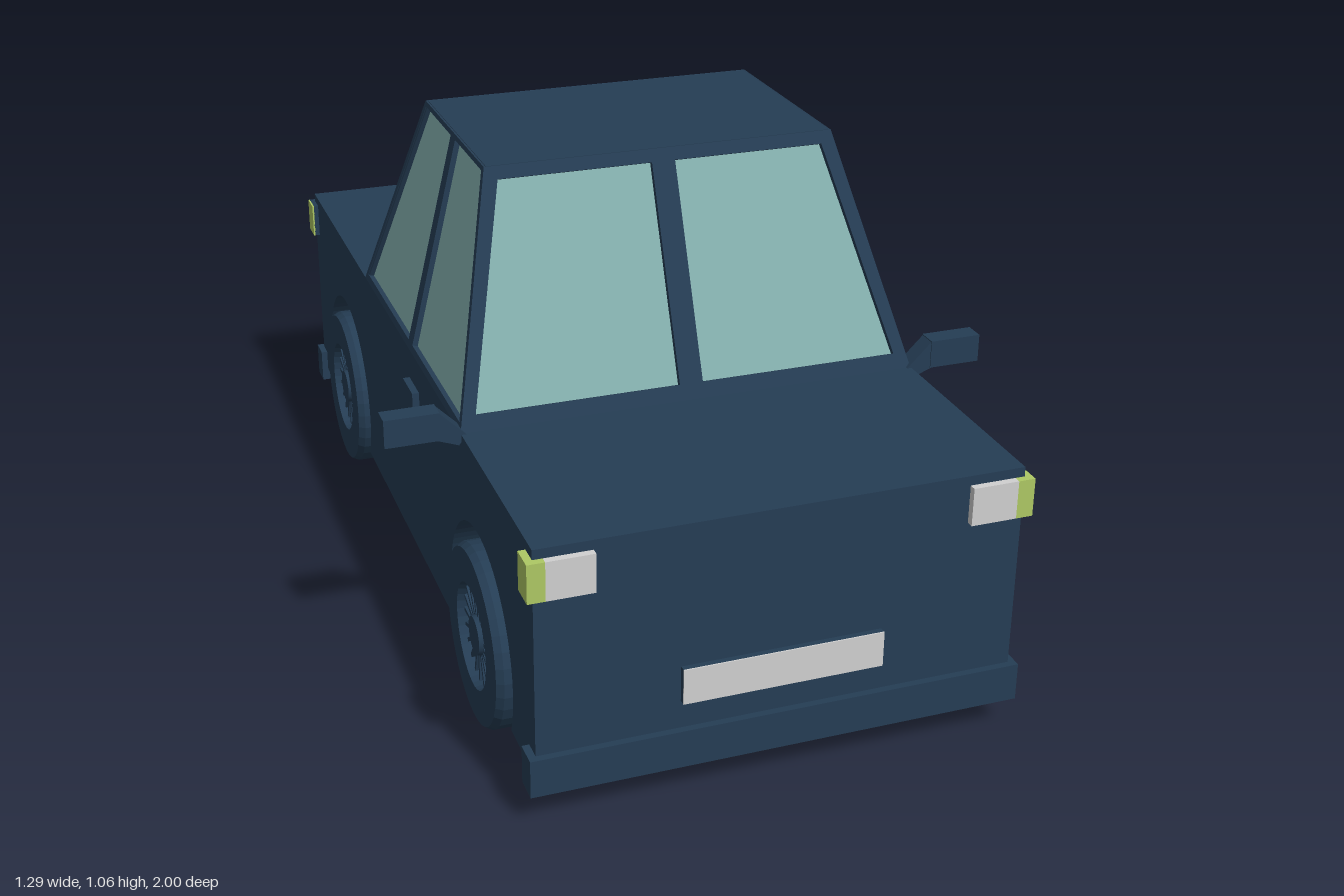
import * as THREE from 'three';

const mat = (name, color, side = THREE.FrontSide) => {
  const m = new THREE.MeshStandardMaterial({ color, side });
  m.name = name;
  return m;
};

export function createModel() {
  const car = new THREE.Group();
  car.name = 'car';
  const paint = mat('navy paint', 0x253d54);
  const glass = mat('pale teal glass', 0x84b0ae, THREE.DoubleSide);
  const amber = mat('yellow lamp', 0xaec864);
  const white = mat('light grey', 0xd0d0d0);

  const add = (name, geo, material, parent = car) => {
    const m = new THREE.Mesh(geo, material);
    m.name = name;
    parent.add(m);
    return m;
  };
  // Box given by its lower and upper limits on each axis
  const box = (name, material, [x0, x1], [y0, y1], [z0, z1], parent = car) => {
    const m = add(name, new THREE.BoxGeometry(Math.abs(x1 - x0), y1 - y0, Math.abs(z1 - z0)), material, parent);
    m.position.set((x0 + x1) / 2, (y0 + y1) / 2, (z0 + z1) / 2);
    return m;
  };
  const poly = (pts, Type = THREE.Shape) => new Type(pts.map(p => new THREE.Vector2(...p)));

  // Body: full-height core, with outer slabs notched by the wheel arches
  const H = 0.585, L = 0.985, wheelY = 0.19, wheelZ = [0.61, -0.63];
  box('bodyCore', paint, [-0.36, 0.36], [0.1, H], [-L, L]);
  const side = new THREE.Shape();
  const dip = Math.asin(0.09 / 0.23);
  side.moveTo(-L, H);
  side.lineTo(-L, 0.1);
  for (const z of [...wheelZ].sort((a, b) => a - b)) side.absarc(z, wheelY, 0.23, Math.PI + dip, -dip, true);
  side.lineTo(L, 0.1);
  side.lineTo(L, H);
  for (const s of [-1, 1]) {
    const geo = new THREE.ExtrudeGeometry(side, { depth: 0.13, bevelEnabled: false, curveSegments: 24 });
    geo.rotateY(-Math.PI / 2); // shape x becomes z, depth runs towards -x
    add('bodySide', geo, paint).position.x = s > 0 ? 0.49 : -0.36;
  }

  // Cabin: four sloping frames with holes, recessed panes and a roof
  const roofY = 1.06, rise = roofY - H;
  function cabinFace(name, origin, u, slope, outline, panes) {
    const g = new THREE.Group();
    g.name = name;
    const U = new THREE.Vector3(...u), V = new THREE.Vector3(...slope);
    const stretch = V.length() / rise;
    V.normalize();
    const N = new THREE.Vector3().crossVectors(U, V);
    const flat = pts => pts.map(([h, y]) => [h, (y - H) * stretch]);
    const frame = poly(flat(outline));
    panes.forEach(p => frame.holes.push(poly(flat(p), THREE.Path)));
    add(name + 'Frame', new THREE.ExtrudeGeometry(frame, { depth: 0.02, bevelEnabled: false }), paint, g).position.z = -0.02;
    panes.forEach(p => {
      add(name + 'Glass', new THREE.ShapeGeometry(poly(flat(p))), glass, g).position.z = -0.012;
    });
    g.applyMatrix4(new THREE.Matrix4().makeBasis(U, V, N).setPosition(...origin));
    car.add(g);
  }
  const mirrorX = pts => pts.map(([h, y]) => [-h, y]);
  const trapezoid = [[-0.49, H], [0.49, H], [0.375, roofY], [-0.375, roofY]];
  const frontPane = [[0.025, 0.615], [0.455, 0.615], [0.35, 1.035], [0.025, 1.035]];
  const rearPane = [[0.008, 0.6], [0.47, 0.6], [0.362, 1.05], [0.008, 1.05]];
  cabinFace('windscreen', [0, H, 0.5], [1, 0, 0], [0, rise, -0.2], trapezoid, [frontPane, mirrorX(frontPane)]);
  cabinFace('rearWindow', [0, H, -0.37], [-1, 0, 0], [0, rise, 0.195], trapezoid, [rearPane, mirrorX(rearPane)]);
  const sideOutline = [[-0.37, H], [0.5, H], [0.3, roofY], [-0.175, roofY]];
  const sidePanes = [
    [[0.085, 0.6], [0.478, 0.6], [0.29, 1.05], [0.085, 1.05]],
    [[-0.35, 0.6], [0.05, 0.6], [0.05, 1.05], [-0.163, 1.05]],
  ];
  cabinFace('rightWindows', [-0.49, H, 0], [0, 0, 1], [0.115, rise, 0], sideOutline, sidePanes);
  cabinFace('leftWindows', [0.49, H, 0], [0, 0, -1], [-0.115, rise, 0], mirrorX(sideOutline), sidePanes.map(mirrorX));
  box('roof', paint, [-0.37, 0.37], [1.045, roofY], [-0.172, 0.297]);

  // Bumpers and number plates at both ends
  for (const e of [1, -1]) {
    box('bumper', paint, [-0.505, 0.505], [0.07, 0.15], [e * 0.945, e]);
    box('plateHolder', paint, [-0.205, 0.205], [0.21, 0.285], [e * 0.98, e * 0.997]);
  }
  box('frontPlate', white, [-0.205, 0.205], [0.21, 0.285], [0.996, 1]);

  // Wheel: lathed tyre with a recessed rim, spokes and a hub
  function wheel() {
    const g = new THREE.Group();
    g.name = 'wheel';
    const profile = [[0, -0.0725], [0.19, -0.0725], [0.19, -0.0725], [0.19, 0.058], [0.19, 0.058],
      [0.182, 0.0725], [0.182, 0.0725], [0.11, 0.0725], [0.11, 0.0725], [0.105, 0.04], [0.105, 0.04], [0, 0.04]];
    const tyre = new THREE.LatheGeometry(profile.map(p => new THREE.Vector2(...p)), 36).toNonIndexed();
    tyre.computeVertexNormals();
    add('tyre', tyre, paint, g);
    add('hub', new THREE.CylinderGeometry(0.04, 0.045, 0.03, 20), paint, g).position.y = 0.052;
    for (let i = 0; i < 20; i++) {
      const a = i / 20 * Math.PI * 2;
      const spoke = add('spoke', new THREE.BoxGeometry(0.066, 0.02, 0.008), paint, g);
      spoke.position.set(Math.cos(a) * 0.074, 0.048, Math.sin(a) * 0.074);
      spoke.rotation.y = -a;
    }
    return g;
  }

  for (const s of [1, -1]) {
    for (const z of wheelZ) {
      const w = wheel();
      w.rotation.z = -s * Math.PI / 2;
      w.position.set(s * 0.4375, wheelY, z);
      car.add(w);
    }
    // Splash plates hanging just below the rear arches
    box('splashPlate', paint, [s * 0.355, s * 0.365], [0.08, 0.15], [-0.83, -0.43]);

    // Lamps
    box('turnSignal', amber, [s * 0.47, s * 0.505], [0.485, 0.565], [0.945, 1]);
    box('headlamp', white, [s * 0.375, s * 0.47], [0.485, 0.565], [0.975, 1]);
    box('tailLamp', paint, [s * 0.375, s * 0.502], [0.485, 0.565], [-1, -0.945]);
    box('rearSideLamp', amber, [s * 0.501, s * 0.505], [0.485, 0.565], [-1, -0.945]);

    // Door handle
    box('doorHandle', paint, [s * 0.48, s * 0.505], [0.477, 0.515], [0.06, 0.145]);

    // Wing mirror: sloping arm, housing and reflective face
    const arm = poly([[0.48, 0.585], [0.495, 0.563], [0.54, 0.58], [0.535, 0.64]].map(([x, y]) => [s * x, y]));
    add('mirrorArm', new THREE.ExtrudeGeometry(arm, { depth: 0.04, bevelEnabled: false }), paint).position.z = 0.466;
    box('mirrorHousing', paint, [s * 0.533, s * 0.645], [0.58, 0.64], [0.464, 0.508]);
    box('mirrorGlass', glass, [s * 0.545, s * 0.635], [0.588, 0.632], [0.461, 0.466]);
  }
  return car;
}
